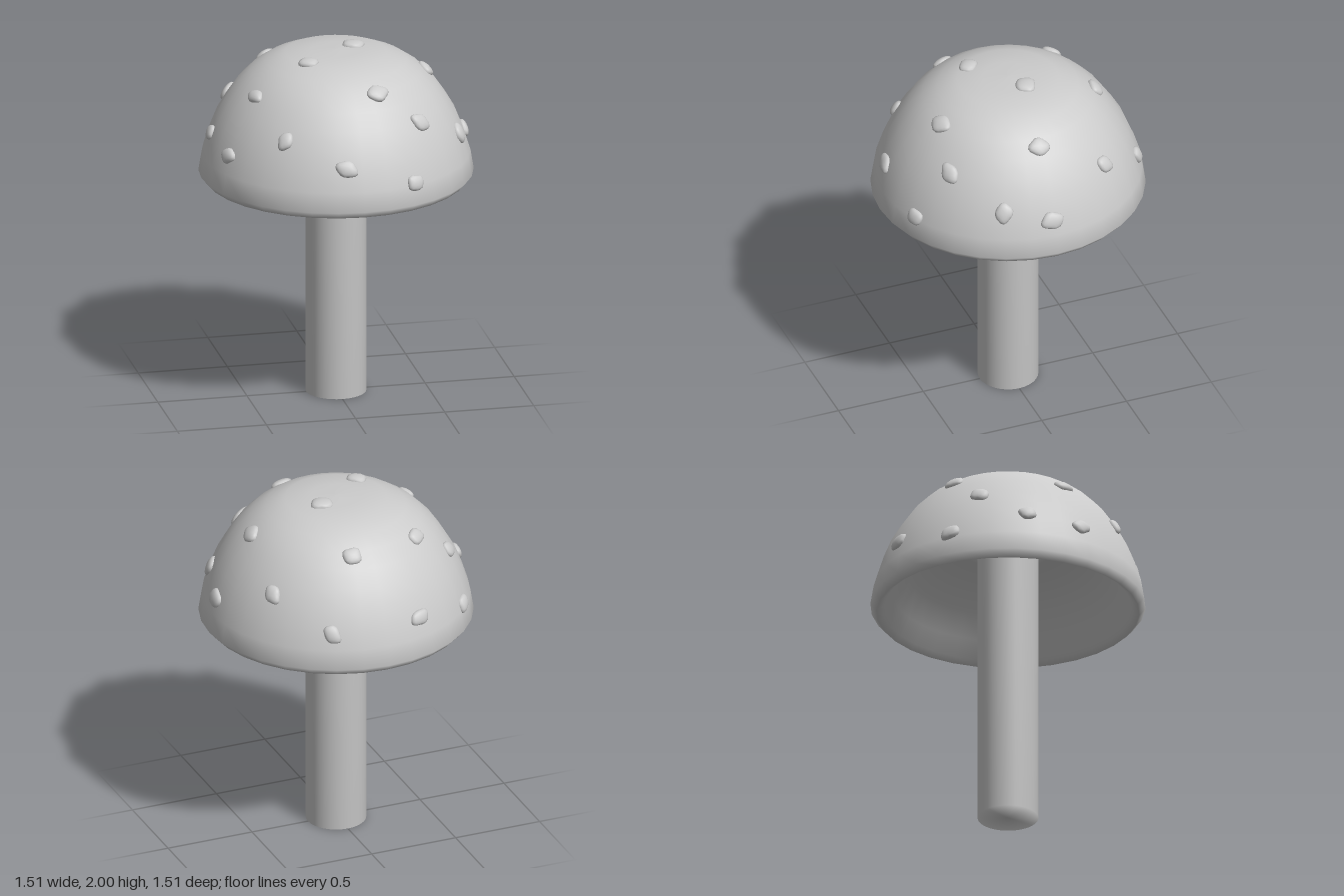
import * as THREE from 'three';
import { mergeVertices } from 'three/addons/utils/BufferGeometryUtils.js';

const material = new THREE.MeshStandardMaterial({ color: 0xcccccc, roughness: 0.8 });

// Profiles as [radius, height]: stem from the ground up, hollow underside, outer dome
const stem = [[0, 0], [0.167, 0], [0.167, 1.65]];
const underside = [[0.28, 1.64], [0.42, 1.58], [0.54, 1.48], [0.63, 1.36], [0.685, 1.265]];
const dome = [[0.72, 1.24], [0.755, 1.28], [0.737, 1.39], [0.702, 1.5], [0.66, 1.605], [0.607, 1.695],
  [0.545, 1.785], [0.47, 1.86], [0.387, 1.916], [0.28, 1.96], [0.14, 1.972], [0, 1.976]];

// Spots: x, z, long half-size, short half-size, twist in degrees
const spots = [
  [0.11, -0.06, 0.066, 0.06, 40], [-0.19, 0.16, 0.06, 0.053, 10],
  [0.105, -0.475, 0.056, 0.052, 0], [-0.315, -0.38, 0.062, 0.048, 0],
  [-0.545, -0.295, 0.06, 0.048, -30], [-0.69, -0.06, 0.052, 0.045, 0],
  [-0.495, 0.19, 0.06, 0.04, 0], [-0.66, 0.25, 0.06, 0.045, 10],
  [-0.395, 0.505, 0.056, 0.044, 75], [-0.09, 0.69, 0.066, 0.048, -20],
  [0.135, 0.45, 0.066, 0.054, 5], [0.365, 0.49, 0.066, 0.048, -42],
  [0.5, 0.015, 0.062, 0.052, -10], [0.53, -0.36, 0.06, 0.046, -50],
  [0.63, 0.275, 0.062, 0.05, 80], [0.71, 0.02, 0.068, 0.052, 0],
  [0.295, -0.645, 0.06, 0.045, -55], [-0.215, -0.67, 0.064, 0.045, 10],
  [-0.56, -0.465, 0.06, 0.046, 20], [0.3, 0.669, 0.054, 0.048, 0],
];

// Height and outward slope of the dome at a given radius
function domeAt(radius) {
  const i = dome.findIndex(([r], k) => k > 1 && r <= radius);
  const [r0, y0] = dome[i - 1], [r1, y1] = dome[i];
  const t = (r0 - radius) / (r0 - r1);
  return { y: y0 + (y1 - y0) * t, slope: new THREE.Vector2(y1 - y0, r0 - r1).normalize() };
}

// Slightly irregular, boxy pebble with a flattened top
function pebble(seed) {
  let geometry = new THREE.IcosahedronGeometry(1, 2);
  geometry.deleteAttribute('normal');
  geometry.deleteAttribute('uv');
  geometry = mergeVertices(geometry, 1e-3);
  const p = geometry.attributes.position;
  for (let i = 0; i < p.count; i++) {
    const angle = Math.atan2(p.getZ(i), p.getX(i));
    const k = 0.96 + 0.03 * Math.sin(3 * angle + seed * 2.1) - 0.06 * Math.cos(4 * angle + seed * 0.3);
    const y = p.getY(i);
    p.setXYZ(i, p.getX(i) * k, Math.sign(y) * Math.pow(Math.abs(y), 0.8), p.getZ(i) * k);
  }
  geometry.computeVertexNormals();
  return geometry;
}

export function createModel() {
  const model = new THREE.Group();
  model.name = 'mushroom';

  // Stem flowing into the hollow cap as one smooth turned body
  const profile = [...stem, ...underside, ...dome].map(([r, y]) => new THREE.Vector2(r, y));
  const body = new THREE.Mesh(new THREE.LatheGeometry(profile, 32), material);
  body.name = 'stemAndCap';
  model.add(body);

  // Raised spots sunk slightly into the dome
  const spotGroup = new THREE.Group();
  spotGroup.name = 'spots';
  model.add(spotGroup);
  spots.forEach(([x, z, long, short, twist], i) => {
    const radius = Math.hypot(x, z);
    const { y, slope } = domeAt(radius);
    const normal = new THREE.Vector3(x / radius * slope.x, slope.y, z / radius * slope.x);
    const across = new THREE.Vector3(z / radius, 0, -x / radius);
    const down = new THREE.Vector3().crossVectors(across, normal);
    const spot = new THREE.Mesh(pebble(i), material);
    spot.name = 'spot';
    spot.quaternion.setFromRotationMatrix(new THREE.Matrix4().makeBasis(across, normal, down));
    spot.rotateY(THREE.MathUtils.degToRad(twist));
    spot.position.set(x, y, z).addScaledVector(normal, -0.003);
    spot.scale.set(long, 0.027, short);
    spotGroup.add(spot);
  });

  return model;
}
